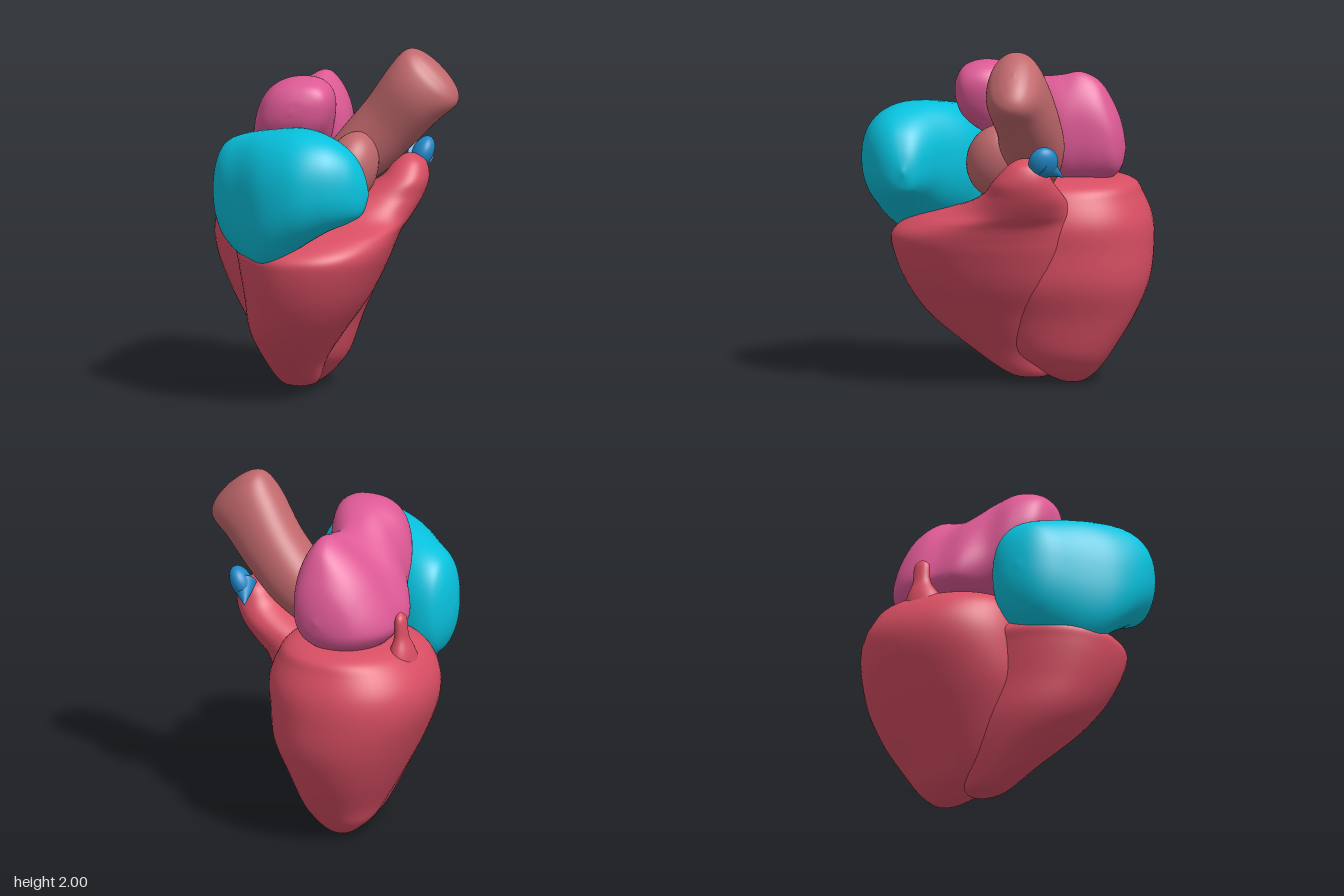
import * as THREE from 'three';
import { mergeVertices } from 'three/addons/utils/BufferGeometryUtils.js';

const material = (color) => new THREE.MeshStandardMaterial({ color });
const RED = material(0xd84e63), CYAN = material(0x08c2de), PINK = material(0xde5a96);
const BROWN = material(0xc0686c), BLUE = material(0x2088c6);

// Smooth closed skin over rounded sections.
// Row: [position along axis, centre a, centre b, radius a, radius b]
// (a, b) is (x, z) along y, (z, y) along x and (y, x) along z.
function loft(name, mat, axis, rows, square = 2.2) {
  const centres = new THREE.CatmullRomCurve3(
    rows.map(([t, a, b]) => new THREE.Vector3(a, t, b)), false, 'catmullrom');
  const radii = new THREE.CatmullRomCurve3(
    rows.map(([, , , ra, rb]) => new THREE.Vector3(ra, 0, rb)), false, 'catmullrom');
  const geo = new THREE.CylinderGeometry(1, 1, 1, 56, rows.length * 6, true);
  geo.deleteAttribute('uv');
  geo.deleteAttribute('normal');
  const bend = (v) => Math.sign(v) * Math.abs(v) ** (2 / square);
  const pos = geo.attributes.position;
  for (let i = 0; i < pos.count; i++) {
    const u = THREE.MathUtils.clamp(pos.getY(i) + 0.5, 0, 1);
    const c = centres.getPoint(u), r = radii.getPoint(u);
    const a = c.x + Math.max(r.x, 0) * bend(pos.getX(i));
    const b = c.z + Math.max(r.z, 0) * bend(pos.getZ(i));
    if (axis === 'x') pos.setXYZ(i, c.y, b, a);
    else if (axis === 'z') pos.setXYZ(i, b, a, c.y);
    else pos.setXYZ(i, a, c.y, b);
  }
  const merged = mergeVertices(geo, 1e-4);
  merged.computeVertexNormals();
  const mesh = new THREE.Mesh(merged, mat);
  mesh.name = name;
  return mesh;
}

function ellipsoid(name, mat, position, scale, rotation) {
  const mesh = new THREE.Mesh(new THREE.SphereGeometry(1, 32, 24), mat);
  mesh.name = name;
  mesh.position.set(...position);
  mesh.scale.set(...scale);
  mesh.rotation.set(...rotation);
  return mesh;
}

export function createModel() {
  const heart = new THREE.Group();
  heart.name = 'heart';

  // Rear lower chamber
  heart.add(loft('rearVentricle', RED, 'y', [
    [0, -0.2, -0.36, 0, 0],
    [0.01, -0.2, -0.36, 0.05, 0.06],
    [0.04, -0.2, -0.35, 0.1, 0.12],
    [0.1, -0.2, -0.33, 0.165, 0.2],
    [0.2, -0.19, -0.3, 0.23, 0.3],
    [0.4, -0.21, -0.3, 0.32, 0.42],
    [0.6, -0.22, -0.3, 0.41, 0.5],
    [0.8, -0.25, -0.31, 0.46, 0.51],
    [0.95, -0.25, -0.31, 0.47, 0.5],
    [1.08, -0.24, -0.3, 0.42, 0.46],
    [1.16, -0.22, -0.32, 0.34, 0.39],
    [1.2, -0.2, -0.32, 0.2, 0.24],
    [1.215, -0.2, -0.32, 0, 0],
  ]));

  // Front lower chamber, rising to a horn on the left
  heart.add(loft('frontVentricle', RED, 'y', [
    [0.03, -0.2, -0.12, 0, 0],
    [0.05, -0.2, -0.12, 0.1, 0.12],
    [0.2, -0.2, -0.02, 0.17, 0.24],
    [0.4, -0.16, 0.09, 0.27, 0.36],
    [0.6, -0.1, 0.11, 0.35, 0.47],
    [0.8, -0.065, 0.12, 0.415, 0.53],
    [0.9, -0.05, 0.11, 0.44, 0.53],
    [0.98, 0.01, 0.05, 0.41, 0.45],
    [1.05, 0.11, -0.06, 0.35, 0.32],
    [1.15, 0.28, -0.125, 0.23, 0.23],
    [1.25, 0.4, -0.14, 0.14, 0.17],
    [1.34, 0.43, -0.16, 0.09, 0.11],
    [1.38, 0.43, -0.16, 0.04, 0.05],
    [1.39, 0.43, -0.16, 0, 0],
  ]));

  // Small spur at the back right
  heart.add(loft('rearSpur', RED, 'y', [
    [1.0, -0.55, -0.32, 0.11, 0.16],
    [1.15, -0.56, -0.34, 0.07, 0.1],
    [1.24, -0.56, -0.35, 0.04, 0.055],
    [1.35, -0.555, -0.35, 0.03, 0.045],
    [1.39, -0.55, -0.35, 0, 0],
  ], 2));

  // Front upper chamber, running diagonally to the front left
  heart.add(loft('rightAtrium', CYAN, 'x', [
    [-0.612, 0.27, 1.22, 0, 0],
    [-0.6, 0.27, 1.23, 0.08, 0.12],
    [-0.57, 0.27, 1.23, 0.15, 0.22],
    [-0.52, 0.28, 1.22, 0.205, 0.29],
    [-0.42, 0.32, 1.205, 0.26, 0.35],
    [-0.25, 0.42, 1.205, 0.325, 0.395],
    [-0.05, 0.5, 1.29, 0.32, 0.34],
    [0.12, 0.56, 1.33, 0.235, 0.27],
    [0.25, 0.57, 1.32, 0.15, 0.2],
    [0.32, 0.56, 1.29, 0.08, 0.12],
    [0.355, 0.55, 1.28, 0, 0],
  ], 2.3));

  // Rear upper chamber with two humps
  const atrium = loft('leftAtrium', PINK, 'z', [
    [-0.67, 1.36, -0.18, 0, 0],
    [-0.65, 1.37, -0.19, 0.11, 0.11],
    [-0.61, 1.4, -0.21, 0.2, 0.2],
    [-0.53, 1.45, -0.24, 0.29, 0.26],
    [-0.42, 1.47, -0.26, 0.33, 0.295],
    [-0.3, 1.46, -0.26, 0.32, 0.3],
    [-0.15, 1.48, -0.28, 0.29, 0.27],
    [0, 1.56, -0.22, 0.28, 0.23],
    [0.13, 1.64, -0.21, 0.22, 0.22],
    [0.24, 1.67, -0.2, 0.16, 0.18],
    [0.29, 1.68, -0.2, 0.08, 0.1],
    [0.305, 1.68, -0.2, 0, 0],
  ], 2.4);
  // The rear hump slopes away at its upper right; the front hump leans left
  const p = atrium.geometry.attributes.position;
  for (let i = 0; i < p.count; i++) {
    const x = p.getX(i), y = p.getY(i);
    const front = THREE.MathUtils.smoothstep(p.getZ(i), -0.3, 0.1);
    const slope = 0.52 * THREE.MathUtils.smoothstep(-x, -0.05, 0.55) * Math.max(0, y - 1.28);
    p.setX(i, x + THREE.MathUtils.lerp(slope, 0.25 * (y - 1.5), front));
  }
  atrium.geometry.computeVertexNormals();
  heart.add(atrium);

  // Great vessel leaning out to the left
  const vessel = loft('aorta', BROWN, 'y', [
    [-0.08, 0.02, -0.16, 0, 0],
    [-0.04, 0.02, -0.16, 0.12, 0.12],
    [0.2, 0.03, -0.17, 0.17, 0.18],
    [0.45, 0.02, -0.16, 0.185, 0.18],
    [0.68, 0, -0.12, 0.205, 0.18],
    [0.81, 0, -0.11, 0.215, 0.15],
    [0.87, 0, -0.11, 0.18, 0.1],
    [0.9, 0, -0.11, 0.1, 0.05],
    [0.91, 0, -0.11, 0, 0],
  ]);
  vessel.position.set(-0.02, 1.26, 0);
  vessel.rotation.z = -Math.PI / 4;
  heart.add(vessel);

  // Side bulge at the root of the vessel
  heart.add(ellipsoid('vesselRoot', BROWN, [0.13, 1.32, 0.03], [0.15, 0.22, 0.18], [-0.2, 0, -0.3]));

  // Small appendage behind the horn, with a pointed corner
  const appendage = new THREE.Group();
  appendage.name = 'appendage';
  appendage.add(ellipsoid('appendageBody', BLUE, [0.48, 1.375, -0.265], [0.06, 0.1, 0.085], [0, 0.3, -0.45]));
  const from = new THREE.Vector3(0.47, 1.37, -0.26), to = new THREE.Vector3(0.41, 1.28, -0.375);
  const direction = to.clone().sub(from);
  const tip = new THREE.Mesh(new THREE.ConeGeometry(0.075, direction.length(), 20), BLUE);
  tip.name = 'appendageTip';
  tip.position.copy(from).add(to).multiplyScalar(0.5);
  tip.quaternion.setFromUnitVectors(new THREE.Vector3(0, 1, 0), direction.normalize());
  appendage.add(tip);
  heart.add(appendage);

  return heart;
}
